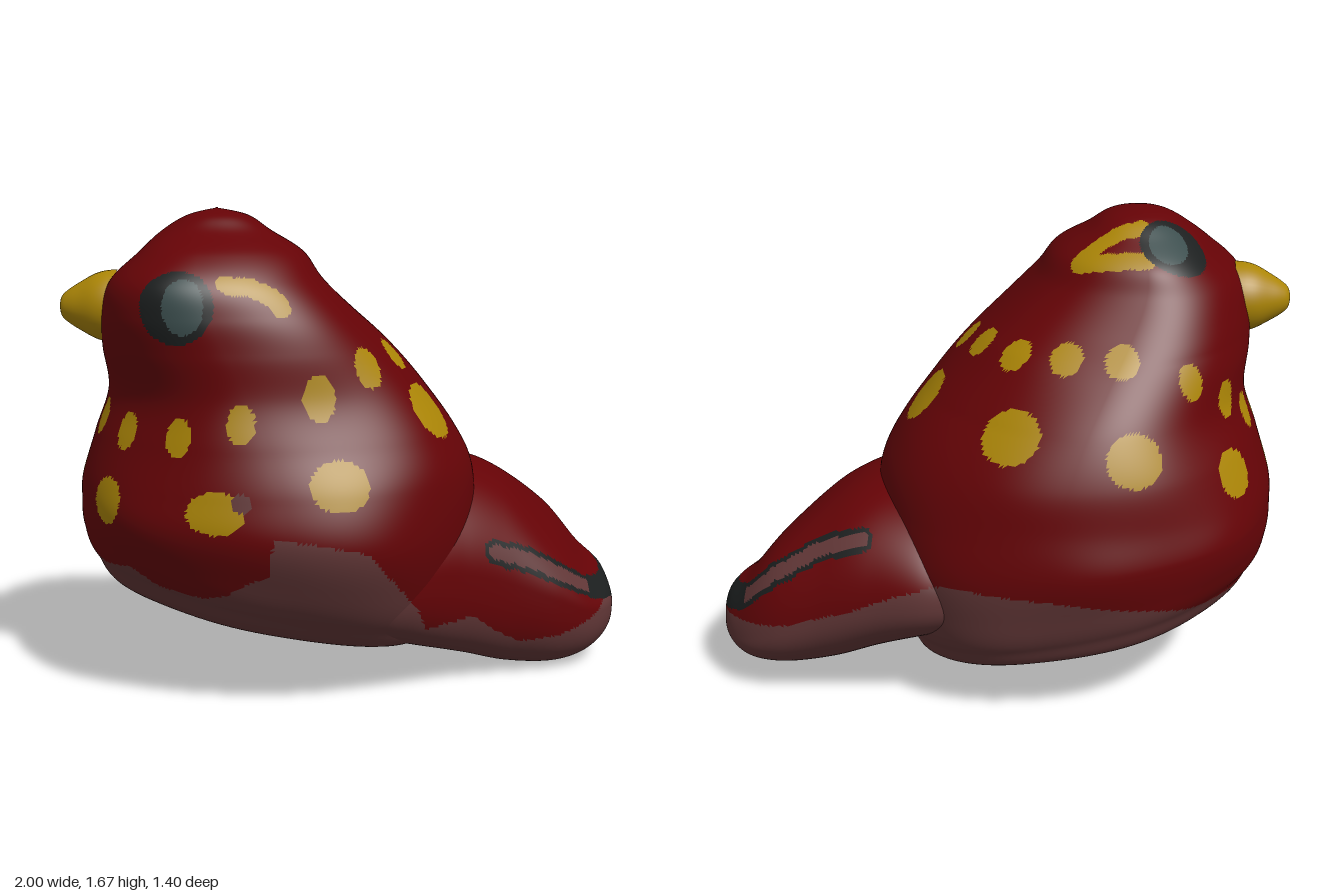
import * as THREE from 'three';

const mat = (name, color) => {
  const m = new THREE.MeshStandardMaterial({ color });
  m.name = name;
  return m;
};

// Smooth interpolation through the rows of a small table
function sample(rows, t) {
  const f = t * (rows.length - 1), i = Math.min(Math.floor(f), rows.length - 2), u = f - i;
  const row = k => rows[Math.max(0, Math.min(rows.length - 1, k))];
  return row(i).map((b, c) => {
    const a = row(i - 1)[c], d = row(i + 1)[c], e = row(i + 2)[c];
    return b + 0.5 * u * (d - a + u * (2 * a - 5 * b + 4 * d - e + u * (3 * (b - d) + e - a)));
  });
}

// Piecewise linear curve through [x, y] pairs
function lineAt(pts, x) {
  if (x <= pts[0][0]) return pts[0][1];
  for (let i = 1; i < pts.length; i++) {
    const [x0, y0] = pts[i - 1], [x1, y1] = pts[i];
    if (x <= x1) return y0 + (y1 - y0) * (x - x0) / (x1 - x0);
  }
  return pts[pts.length - 1][1];
}

const spow = (v, p) => Math.sign(v) * Math.pow(Math.abs(v), p);

// Grid of points: closed around, open along
function loft(around, along, point) {
  const pts = [], tris = [];
  for (let j = 0; j <= along; j++)
    for (let i = 0; i < around; i++) pts.push(point((i / around) * Math.PI * 2, j / along));
  for (let j = 0; j < along; j++)
    for (let i = 0; i < around; i++) {
      const n = (i + 1) % around, a = j * around + i, b = j * around + n;
      tris.push([a, a + around, b], [b, a + around, b + around]);
    }
  return { pts, tris };
}

// Body rings: y at x=0, slope, front/back x, widest x, right/left z, middle z
const bodyRings = [
  [0.18, -0.19, -0.2, -0.2, -0.2, -0.03, -0.03, -0.03],
  [0.18, -0.19, -0.78, 0.24, -0.2, -0.51, 0.42, -0.02],
  [0.28, -0.2, -0.92, 0.33, -0.2, -0.625, 0.57, 0],
  [0.42, -0.15, -0.955, 0.4, -0.2, -0.67, 0.65, 0],
  [0.58, -0.08, -0.957, 0.44, -0.2, -0.695, 0.7, 0],
  [0.75, 0, -0.95, 0.44, -0.23, -0.67, 0.675, 0.01],
  [0.9, 0, -0.9, 0.38, -0.28, -0.64, 0.625, 0.03],
  [1.05, 0, -0.845, 0.275, -0.33, -0.56, 0.585, 0.05],
  [1.2, 0, -0.862, 0.14, -0.4, -0.44, 0.59, 0.1],
  [1.32, 0, -0.86, 0.02, -0.46, -0.33, 0.59, 0.14],
  [1.43, 0, -0.825, -0.09, -0.5, -0.24, 0.56, 0.16],
  [1.52, 0, -0.73, -0.16, -0.5, -0.185, 0.46, 0.15],
  [1.59, 0, -0.65, -0.27, -0.47, -0.09, 0.31, 0.14],
  [1.645, 0, -0.56, -0.35, -0.46, 0, 0.23, 0.13],
  [1.67, 0, -0.46, -0.46, -0.46, 0.13, 0.13, 0.13],
];
// How square the rings are by height, on the right cheek and right back
const cheek = [[0.6, 0.93], [0.9, 1], [1.25, 1.1], [1.5, 1.03]];
const rightBack = [[0.3, 0.8], [0.7, 0.92], [1.05, 0.95], [1.25, 0.82], [1.5, 0.86]];

// Tail sections: x, right z, left z, bottom y, top y
const tailSections = [
  [-0.1, -0.46, 0.48, 0.25, 0.58], [0.05, -0.56, 0.55, 0.2, 0.68], [0.2, -0.615, 0.5, 0.155, 0.74],
  [0.4, -0.6, 0.365, 0.09, 0.75], [0.57, -0.58, 0.27, 0.035, 0.685], [0.75, -0.55, 0.2, 0.016, 0.535],
  [0.88, -0.48, 0.12, 0.045, 0.38], [0.97, -0.36, 0, 0.115, 0.3], [1, -0.17, -0.17, 0.21, 0.21],
];

function bodyPoint(a, t) {
  const [y, slope, x0, x1, cx, z0, z1, cz] = sample(bodyRings, t);
  const ca = Math.cos(a), sa = Math.sin(a);
  const p = sa > 0 ? 0.93 : lineAt(ca < 0 ? cheek : rightBack, y);
  const c = spow(ca, p), s = spow(sa, p);
  const x = cx + c * (c > 0 ? x1 - cx : cx - x0), z = cz + s * (s > 0 ? z1 - cz : cz - z0);
  const lump = 0.01 * Math.sin(9 * x + 2) * Math.sin(8 * y) * Math.sin(7 * z + 1);
  return new THREE.Vector3(x + lump * c, y + slope * x, z + lump * s);
}

// The tail has a humped top near the body and rolls towards the left at its end
function tailPoint(a, t) {
  const [x, z0, z1, yb, yt] = sample(tailSections, t);
  const sa = Math.sin(a), end = THREE.MathUtils.smoothstep(x, 0.55, 0.88);
  const c = spow(Math.cos(a), 0.85), s = spow(sa, sa > 0 ? 1 - 0.15 * end : 0.8), h = (yt - yb) / 2;
  const roll = -(s > 0 ? 0.06 + 0.3 * end : 0.27) * h * c * Math.abs(s);
  return new THREE.Vector3(x, (yb + yt) / 2 + h * s + roll, (z0 + z1) / 2 + c * (z1 - z0) / 2);
}

// Upper edge of the pale underside on the left and right flanks
const paleLeft = [[-0.95, 0.5], [-0.85, 0.46], [-0.75, 0.48], [-0.65, 0.42], [-0.5, 0.4], [-0.42, 0.42],
  [-0.35, 0.47], [-0.28, 0.5], [-0.26, 0.63], [-0.1, 0.61], [0.05, 0.57], [0.15, 0.43], [0.22, 0.33],
  [0.25, 0.25], [0.42, 0.27], [0.5, 0.2], [0.6, 0.14], [0.75, 0.15], [0.9, 0.2], [0.96, 0.27]];
const paleRight = [[-0.95, 0.41], [-0.72, 0.42], [-0.6, 0.46], [-0.35, 0.51], [-0.2, 0.53], [0.1, 0.54],
  [0.3, 0.48], [0.45, 0.41], [0.7, 0.32], [0.96, 0.27]];

// Plumage spots: x, y, z, half width, half height
const spotTable = [
  [-0.81, 0.7, 0.41, 0.08, 0.08], [-0.45, 0.7, 0.64, 0.1, 0.07], [-0.04, 0.8, 0.65, 0.1, 0.085],
  [0.25, 0.98, 0.29, 0.105, 0.11], [0.27, 1.05, -0.15, 0.105, 0.105], [-0.08, 1.03, -0.52, 0.105, 0.095],
  [-0.48, 0.98, -0.55, 0.095, 0.09], [-0.82, 0.86, -0.33, 0.085, 0.085], [-0.94, 0.77, 0.06, 0.07, 0.08],
];
// Small spots in a necklace, on the front and on the sloping back
const frontSpots = [[-0.74, 0.94, 0.4], [-0.57, 0.94, 0.55], [-0.37, 0.99, 0.6], [-0.65, 1.18, -0.33],
  [-0.79, 1.09, -0.22], [-0.86, 1, -0.08], [-0.87, 0.98, 0.08], [-0.85, 0.97, 0.23]];
const backSpots = [[-0.12, 1.06, 0.54], [0.04, 1.14, 0.42], [0.13, 1.17, 0.23], [0.14, 1.22, 0.03],
  [0.07, 1.27, -0.16], [-0.06, 1.27, -0.32], [-0.25, 1.26, -0.37], [-0.43, 1.25, -0.37]];
spotTable.push(...frontSpots.map(p => [...p, 0.047, 0.068]), ...backSpots.map(p => [...p, 0.056, 0.078]));

const eyes = [[-0.57, 1.365, 0.55], [-0.585, 1.56, -0.07]];
const eyeMarks = [
  [[-0.405, 1.43, 0.54], [-0.33, 1.415, 0.52], [-0.275, 1.375, 0.5], [-0.245, 1.345, 0.5]],
  [[-0.49, 1.53, -0.15], [-0.38, 1.53, -0.15], [-0.26, 1.53, -0.14]],
  [[-0.26, 1.54, -0.13], [-0.36, 1.59, -0.07], [-0.47, 1.61, -0.03]],
];
const tailRim = [[0.5, 0.48, 0.27], [0.65, 0.42, 0.2], [0.78, 0.36, 0.15], [0.9, 0.3, 0.05], [0.96, 0.27, -0.1],
  [0.94, 0.31, -0.33], [0.86, 0.37, -0.44], [0.7, 0.47, -0.46], [0.55, 0.56, -0.46], [0.43, 0.62, -0.49]];

const vec = p => new THREE.Vector3(p[0], p[1], p[2]);
function snap(p, pts) {
  let best = pts[0], d = Infinity;
  for (const q of pts) {
    const e = q.distanceToSquared(p);
    if (e < d) { d = e; best = q; }
  }
  return best.clone();
}
const trace = (path, n, pts) =>
  new THREE.CatmullRomCurve3(path.map(vec)).getPoints(n).map(p => snap(p, pts));

// Colour slots
const RED = 0, PALE = 1, YELLOW = 2, DARK = 3, SLATE = 4;

function bodyPainter(pts) {
  const spots = spotTable.map(s => ({ p: snap(vec(s), pts), w: s[3], h: s[4] }));
  const eyeAt = eyes.map(e => snap(vec(e), pts));
  const marks = eyeMarks.flatMap(m => trace(m, 16, pts));
  const fleck = snap(new THREE.Vector3(-0.37, 0.74, 0.66), pts);
  return c => {
    for (const e of eyeAt) {
      const d = c.distanceTo(e);
      if (Math.hypot((c.x - e.x - 0.025) / 0.068, (c.y - e.y) / 0.092, (c.z - e.z) / 0.09) < 1) return SLATE;
      if (d < 0.124) return DARK;
    }
    if (c.distanceTo(fleck) < 0.032) return PALE;
    for (const s of spots)
      if (Math.hypot((c.x - s.p.x) / s.w, (c.y - s.p.y) / s.h, (c.z - s.p.z) / s.w) < 1) return YELLOW;
    if (c.y > 1.2 && marks.some(m => m.distanceTo(c) < 0.034)) return YELLOW;
    return underside(c);
  };
}

function underside(c) {
  const k = THREE.MathUtils.smoothstep(c.z, -0.25, 0.2);
  return c.y < lineAt(paleRight, c.x) * (1 - k) + lineAt(paleLeft, c.x) * k ? PALE : RED;
}

function tailPainter(pts) {
  const rim = trace(tailRim, 90, pts);
  return c => {
    let d = Infinity;
    for (const r of rim) d = Math.min(d, r.distanceTo(c));
    const side = c.x < 0.87;
    if (side && d < 0.028) return PALE;
    if (d < (side ? 0.047 : 0.05)) return DARK;
    return underside(c);
  };
}

// Faces are sorted into one group per colour
function paintedMesh(name, { pts, tris }, painter, materials) {
  const paint = painter(pts), slots = materials.map(() => []), c = new THREE.Vector3();
  for (const t of tris) {
    c.copy(pts[t[0]]).add(pts[t[1]]).add(pts[t[2]]).divideScalar(3);
    slots[paint(c)].push(...t);
  }
  const g = new THREE.BufferGeometry().setFromPoints(pts);
  g.setIndex(slots.flat());
  let start = 0;
  slots.forEach((s, i) => {
    if (s.length) g.addGroup(start, s.length, i);
    start += s.length;
  });
  g.computeVertexNormals();
  const mesh = new THREE.Mesh(g, materials);
  mesh.name = name;
  return mesh;
}

export function createModel() {
  const group = new THREE.Group();
  group.name = 'bird';
  const yellow = mat('yellow', 0xab8506);
  const materials = [mat('deep red', 0x650306), mat('dusky pink', 0x623737), yellow,
    mat('charcoal', 0x1b1e1e), mat('slate', 0x3a4c4c)];

  group.add(paintedMesh('body', loft(300, 170, bodyPoint), bodyPainter, materials));
  group.add(paintedMesh('tail', loft(180, 100, tailPoint), tailPainter, materials));

  // Stubby beak pointing to -x
  const profile = [[0.125, 0], [0.122, 0.04], [0.11, 0.08], [0.085, 0.125], [0.06, 0.165], [0.035, 0.192], [0, 0.2]];
  const curve = new THREE.SplineCurve(profile.map(p => new THREE.Vector2(...p)));
  const points = curve.getPoints(24).map(p => p.setX(Math.max(0, p.x)));
  const beak = new THREE.Mesh(new THREE.LatheGeometry(points, 40), yellow);
  beak.name = 'beak';
  beak.rotation.z = Math.PI / 2;
  beak.position.set(-0.8, 1.335, 0.17);
  group.add(beak);
  return group;
}
